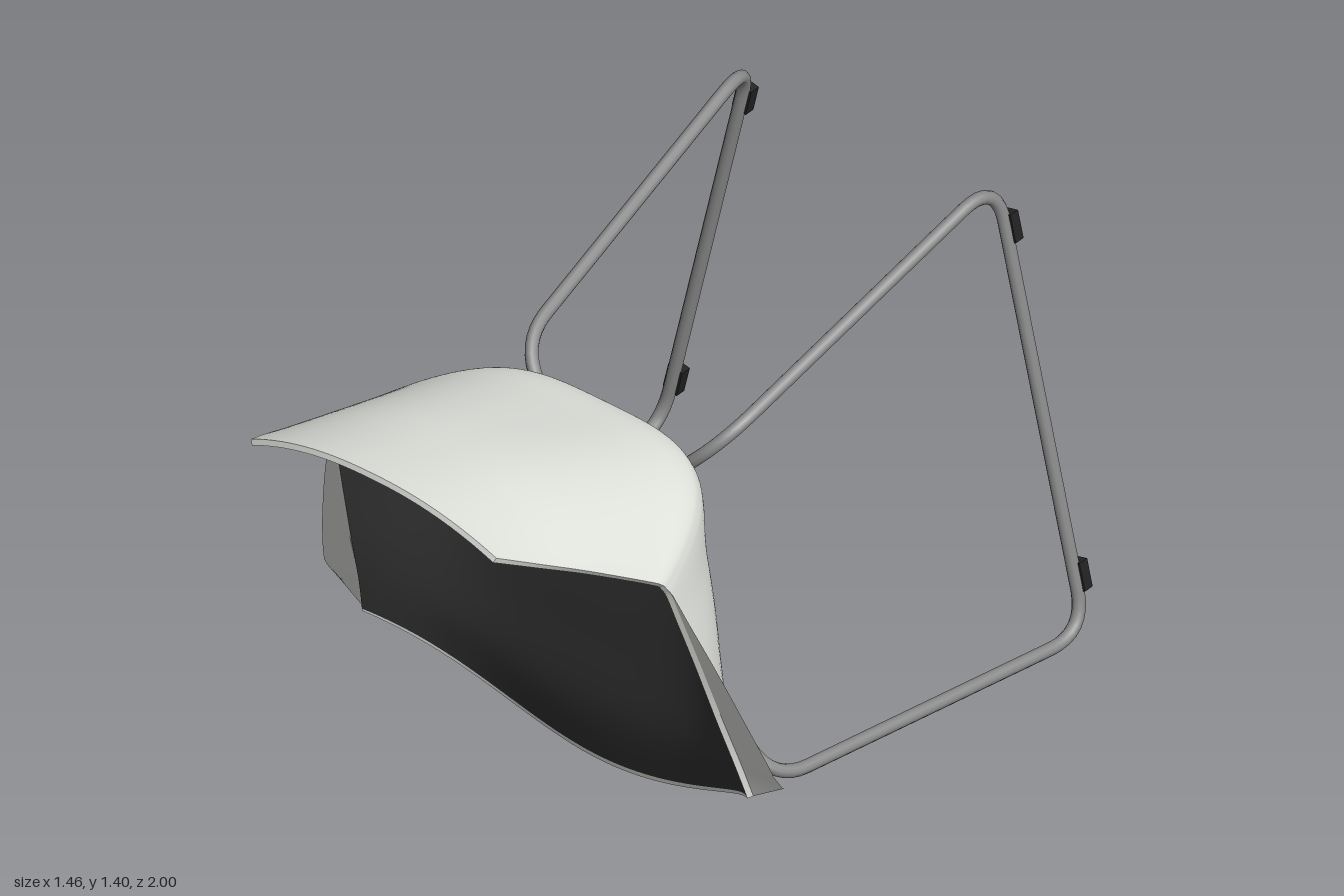
import * as THREE from 'three';

const shellMat = new THREE.MeshStandardMaterial({ color: 0xe3e5df, side: THREE.DoubleSide });
shellMat.name = 'pale shell';
const liningMat = new THREE.MeshStandardMaterial({ color: 0x323232 });
liningMat.name = 'dark lining';
const steelMat = new THREE.MeshStandardMaterial({ color: 0x8a8a8a });
steelMat.name = 'grey steel';
const padMat = new THREE.MeshStandardMaterial({ color: 0x222222 });
padMat.name = 'black rubber';

// Shell stations from front lip to top of backrest:
// centre y, z | rim x, y, z | curve power of y, z | arm flange width
const STATIONS = [
  [0.00, 0.075, 0.63, 0.28, 0.265, 2, 3.5, 0.10],
  [0.20, 0.125, 0.615, 0.40, 0.30, 2.2, 4.5, 0.11],
  [0.42, 0.13, 0.60, 0.55, 0.35, 2.5, 5, 0.09],
  [0.71, 0.125, 0.58, 0.74, 0.41, 3, 5.5, 0.055],
  [0.90, 0.095, 0.56, 0.90, 0.46, 3, 4.6, 0.022],
  [1.025, 0.065, 0.55, 0.98, 0.485, 3, 4.1, 0.006],
  [1.08, 0.07, 0.545, 1.01, 0.50, 3, 4, 0],
  [1.12, 0.11, 0.54, 1.03, 0.515, 3, 3.8, 0],
  [1.17, 0.25, 0.525, 1.06, 0.56, 3, 3.5, 0],
  [1.275, 0.55, 0.477, 1.165, 0.73, 2.6, 3, 0],
  [1.34, 0.78, 0.438, 1.24, 0.86, 2.3, 2.5, 0],
  [1.40, 1.00, 0.395, 1.31, 0.985, 2.2, 2, 0],
];
const LAST = STATIONS.length - 1;

function station(v) {
  const i = Math.min(Math.floor(v), LAST - 1), t = v - i;
  const at = (k) => STATIONS[Math.max(0, Math.min(LAST, k))];
  return at(i).map((p1, c) => {
    const p0 = at(i - 1)[c], p2 = at(i + 1)[c], p3 = at(i + 2)[c];
    return p1 + 0.5 * t * (p2 - p0 + t * (2 * p0 - 5 * p1 + 4 * p2 - p3 + t * (3 * (p1 - p2) + p3 - p0)));
  });
}

function shellPoint(u, v) {
  const [cy, cz, ex, ey, ez, py, pz] = station(v), a = Math.abs(u);
  return [u * ex, cy + (ey - cy) * a ** py, cz + (ez - cz) * a ** pz];
}

// Hand slots: a rectangle of grid cells whose border is pulled to a rounded, tapering outline
const SLOT = { u: 0.65, v: 4, du: 0.1, dv: 1 };
const slotCoords = (u, v) => [(Math.abs(u) - SLOT.u) / SLOT.du, (v - SLOT.v) / SLOT.dv];
const inSlot = (u, v) => Math.max(...slotCoords(u, v).map(Math.abs)) < 1;

function warpSlot(u, v) {
  const [a, b] = slotCoords(u, v);
  const m = Math.max(Math.abs(a), Math.abs(b));
  if (m < 0.99 || m >= 1.5) return [u, v];
  const k = Math.min(1, (1.5 - m) / 0.5), hx = 0.055, hy = 0.16, r = 0.047;
  const x = (a / m) * hx, y = (b / m) * hy;
  const cx = THREE.MathUtils.clamp(x, r - hx, hx - r), cy = THREE.MathUtils.clamp(y, r - hy, hy - r);
  const d = Math.hypot(x - cx, y - cy), f = d > r ? r / d : 1;
  const du = ((cx + (x - cx) * f - x) / hx) * SLOT.du * k + (0.02 - 0.018 * b + 0.01 * a * b) * k;
  const dv = ((cy + (y - cy) * f - y) / hy) * SLOT.dv * k;
  return [Math.sign(u) * (Math.abs(u) + du), v + dv];
}

function geometry(positions, index) {
  const g = new THREE.BufferGeometry();
  g.setAttribute('position', new THREE.Float32BufferAttribute(positions, 3));
  g.setIndex(index);
  g.computeVertexNormals();
  return g;
}

function named(name, geo, mat) {
  const mesh = new THREE.Mesh(geo, mat);
  mesh.name = name;
  return mesh;
}

function buildShell() {
  const group = new THREE.Group();
  group.name = 'seatShell';
  const NU = 80, NV = LAST * 8, THICK = 0.016;
  const U = (i) => -1 + (2 * i) / NU, V = (j) => j / 8;
  const id = (i, j) => j * (NU + 1) + i;
  const kept = (i, j) => i >= 0 && j >= 0 && i < NU && j < NV && !inSlot(U(i + 0.5), V(j + 0.5));

  const outer = [];
  for (let j = 0; j <= NV; j++)
    for (let i = 0; i <= NU; i++) outer.push(...shellPoint(...warpSlot(U(i), V(j))));

  const front = [], back = [], lip = [], edges = [];
  for (let j = 0; j < NV; j++) {
    for (let i = 0; i < NU; i++) {
      if (!kept(i, j)) continue;
      const a = id(i, j), b = id(i + 1, j), c = id(i + 1, j + 1), d = id(i, j + 1);
      (j === 0 ? lip : front).push(a, b, c, a, c, d);
      back.push(a, c, b, a, d, c);
      if (!kept(i, j - 1)) edges.push([a, b]);
      if (!kept(i + 1, j)) edges.push([b, c]);
      if (!kept(i, j + 1)) edges.push([c, d]);
      if (!kept(i - 1, j)) edges.push([d, a]);
    }
  }

  // Outer skin, and the lining offset from it
  const outerGeo = geometry(outer, back);
  const n = outerGeo.attributes.normal.array;
  const inner = outer.map((p, k) => p - n[k] * THICK);
  group.add(named('outerShell', outerGeo, shellMat));
  group.add(named('innerLining', geometry(inner, front), liningMat));
  group.add(named('frontLip', geometry(inner, lip), shellMat));

  // Edge band round the shell and the slots
  const band = [], bandIndex = [];
  for (const [p, q] of edges) {
    const k = band.length / 3;
    for (const [src, e] of [[outer, p], [outer, q], [inner, q], [inner, p]]) band.push(...src.slice(e * 3, e * 3 + 3));
    bandIndex.push(k, k + 1, k + 2, k, k + 2, k + 3);
  }
  group.add(named('shellEdge', geometry(band, bandIndex), shellMat));

  // Arm flanges that widen towards the front corners
  for (const s of [1, -1]) {
    const pos = [], index = [], steps = 48;
    for (let j = 0; j <= steps; j++) {
      const v = j / 8, [, , x, y, z, , , w] = station(v);
      const lift = 0.07 * Math.max(0, 1 - v);
      pos.push(s * x, y, z, s * (x + Math.max(0, w)), y + lift, z);
      const k = 2 * j;
      if (j < steps) index.push(...(s > 0 ? [k, k + 1, k + 3, k, k + 3, k + 2] : [k, k + 3, k + 1, k, k + 2, k + 3]));
    }
    group.add(named(s > 0 ? 'leftArmFlange' : 'rightArmFlange', geometry(pos, index), shellMat));
  }
  return group;
}

// Closed tube path with rounded corners
function roundedLoop(corners, radius) {
  const path = new THREE.CurvePath();
  const N = corners.length;
  const toward = (p, q) => p.clone().add(q.clone().sub(p).setLength(radius));
  for (let i = 0; i < N; i++) {
    const prev = corners[(i + N - 1) % N], p = corners[i], next = corners[(i + 1) % N];
    const exit = toward(p, next);
    path.add(new THREE.QuadraticBezierCurve3(toward(p, prev), p, exit));
    path.add(new THREE.LineCurve3(exit, toward(next, p)));
  }
  return path;
}

function buildFrame() {
  const group = new THREE.Group();
  group.name = 'frame';
  const railZ = -0.968, top = [0.395, 1.378], bottom = [0.685, 0.115];

  // One bent tube: crossing bars under the seat, legs and floor rails
  const corners = [];
  for (const s of [-1, 1]) {
    corners.push(
      new THREE.Vector3(s * 0.56, 0.2, 0.112),
      new THREE.Vector3(s * bottom[0], bottom[1], railZ),
      new THREE.Vector3(s * top[0], top[1], railZ),
      new THREE.Vector3(s * 0.325, 1.085, 0.025),
      new THREE.Vector3(0, 0.755, 0.067),
    );
  }
  const tube = new THREE.TubeGeometry(roundedLoop(corners, 0.125), 400, 0.018, 10, true);
  group.add(named('bentTubeFrame', tube, steelMat));

  // Floor pads on the rails
  const tilt = Math.atan2(bottom[0] - top[0], top[1] - bottom[1]);
  for (const s of [-1, 1]) {
    for (const y of [1.24, 0.27]) {
      const t = (top[1] - y) / (top[1] - bottom[1]);
      const pad = named('floorPad', new THREE.BoxGeometry(0.046, 0.08, 0.03), padMat);
      pad.position.set(s * (top[0] + (bottom[0] - top[0]) * t), y, -0.985);
      pad.rotation.z = s * tilt;
      group.add(pad);
    }
  }
  return group;
}

export function createModel() {
  const model = new THREE.Group();
  model.name = 'chair';
  model.add(buildShell(), buildFrame());
  return model;
}
